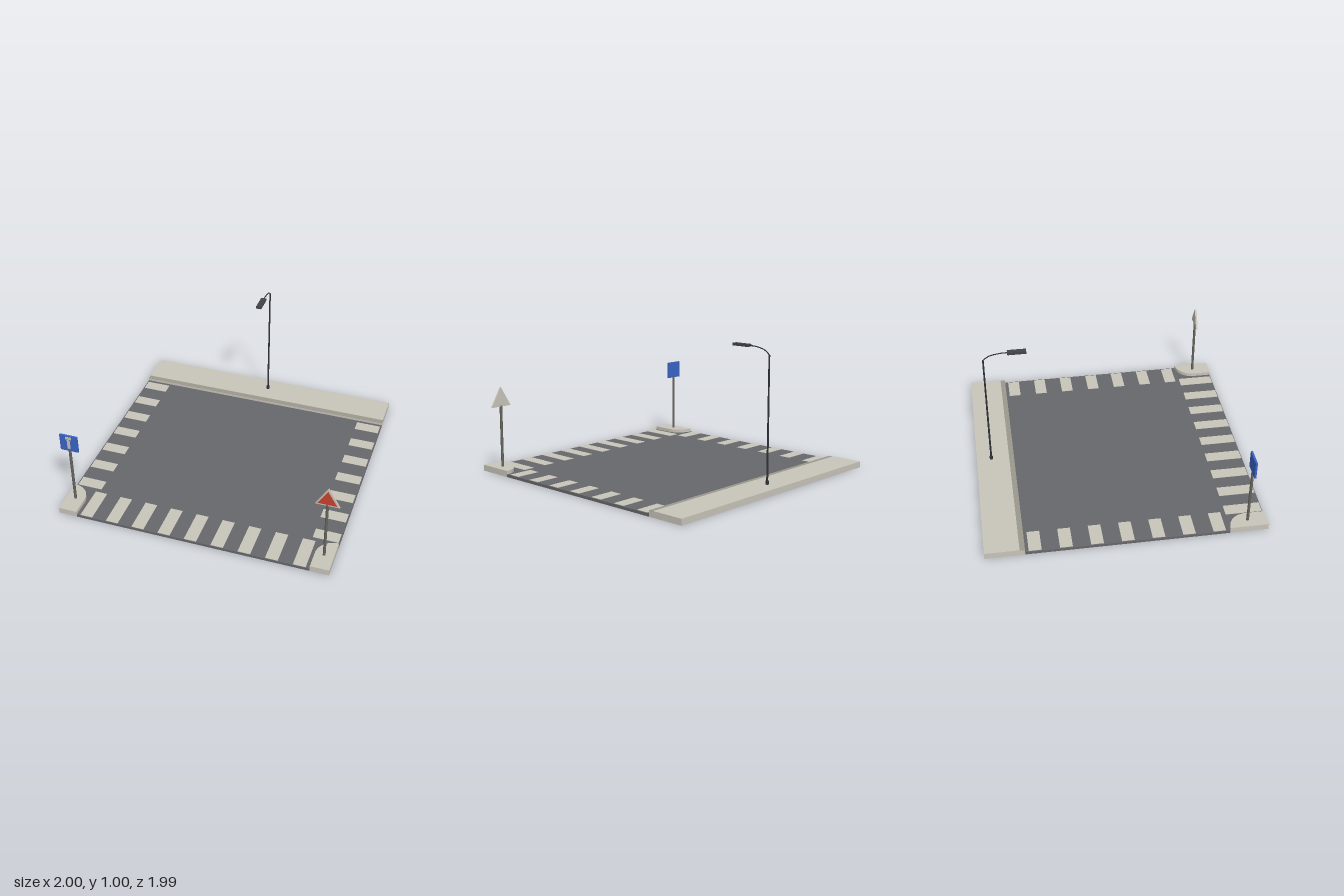
import * as THREE from 'three';

const CX = -0.0075, HALF = 0.9925; // slab centre in x and half size
const ROAD_Y = 0.02, PAVE_Y = 0.045;

const make = (name, color, side = THREE.FrontSide) => {
  const m = new THREE.MeshStandardMaterial({ color, side });
  m.name = name;
  return m;
};

export function createModel() {
  const group = new THREE.Group();
  const asphalt = make('asphalt', 0x66676b);
  const concrete = make('concrete', 0xc8c4b9, THREE.DoubleSide);
  const kerbGrey = make('kerb grey', 0x9b988c, THREE.DoubleSide);
  const poleGrey = make('pole grey', 0x66645e);
  const lampDark = make('lamp dark', 0x2e3238);
  const headDark = make('lamp head dark', 0x424347);
  const blue = make('sign blue', 0x3a63c4);
  const red = make('sign red', 0xc8432f);

  const add = (name, geometry, material, x = 0, y = 0, z = 0) => {
    const mesh = new THREE.Mesh(geometry, material);
    mesh.name = name;
    mesh.position.set(x, y, z);
    group.add(mesh);
    return mesh;
  };
  const box = (name, mat, x, y, z, w, h, d) => add(name, new THREE.BoxGeometry(w, h, d), mat, x, y, z);

  // Quarter round of a corner island, as [x, z], from the slab side edge to its front edge
  const cornerOutline = (side, grow) => {
    const r = 0.135 + grow, pts = [];
    for (let i = 0; i <= 12; i++) {
      const a = (i / 12) * Math.PI / 2;
      pts.push([CX + side * (HALF - r * Math.sin(a)), 0.855 - r * Math.cos(a)]);
    }
    pts.push([CX + side * (HALF - r), HALF]);
    return pts;
  };
  const toShape = (pts) => new THREE.Shape(pts.map(([x, z]) => new THREE.Vector2(x, -z)));

  // Road slab with both front corners cut out for the islands
  const roadPts = [
    [CX - HALF, -0.713],
    ...cornerOutline(-1, 0.002),
    ...cornerOutline(1, 0.002).reverse(),
    [CX + HALF, -0.713],
  ];
  const roadGeo = new THREE.ExtrudeGeometry(toShape(roadPts), { depth: ROAD_Y, bevelEnabled: false });
  roadGeo.rotateX(-Math.PI / 2);
  add('road', roadGeo, asphalt);

  // Hollow slab, open underneath: a flat top and a wall round its outline
  const shell = (name, pts, height) => {
    const top = new THREE.ShapeGeometry(toShape(pts)).rotateX(-Math.PI / 2);
    add(name + 'Top', top, concrete, 0, height, 0);
    const v = [], idx = [];
    // orient the outline so that the walls face outwards
    const loop = THREE.ShapeUtils.area(pts.map(([x, z]) => new THREE.Vector2(x, -z))) < 0 ? [...pts].reverse() : pts;
    loop.forEach(([x, z], i) => {
      const [x2, z2] = loop[(i + 1) % loop.length];
      const n = i * 4;
      v.push(x, 0, z, x2, 0, z2, x2, height, z2, x, height, z);
      idx.push(n, n + 1, n + 2, n, n + 2, n + 3);
    });
    const wall = new THREE.BufferGeometry();
    wall.setAttribute('position', new THREE.Float32BufferAttribute(v, 3));
    wall.setIndex(idx);
    wall.computeVertexNormals();
    add(name + 'Wall', wall, concrete);
  };

  // Pavement along the back, with a slightly lower kerb in front
  const strip = (z0, z1) => [[CX - HALF, z0], [CX + HALF, z0], [CX + HALF, z1], [CX - HALF, z1]];
  shell('pavement', strip(-HALF, -0.75), PAVE_Y);
  shell('kerb', strip(-0.75, -0.713), 0.041);
  box('kerbTopStrip', kerbGrey, CX, 0.0415, -0.7315, 2 * HALF, 0.002, 0.037);

  // Corner islands
  for (const side of [-1, 1]) {
    shell(side < 0 ? 'rightIsland' : 'leftIsland', [...cornerOutline(side, 0), [CX + side * HALF, HALF]], PAVE_Y);
  }

  // Crossing stripes on three sides
  for (const side of [-1, 1]) {
    for (let i = 0; i < 7; i++) {
      box('sideCrossingStripe', concrete, CX + side * 0.892, ROAD_Y + 0.001, -0.644 + i * 0.215, 0.185, 0.003, 0.089);
    }
  }
  for (let i = 0; i < 9; i++) {
    box('frontCrossingStripe', concrete, CX + (i - 4) * 0.196, ROAD_Y + 0.001, 0.856, 0.09, 0.003, 0.264);
  }

  // Sign poles
  const SIGN_Z = 0.857;
  const pole = (x, top) => add('signPole', new THREE.CylinderGeometry(0.01, 0.01, top - PAVE_Y, 12), poleGrey, x, (top + PAVE_Y) / 2, SIGN_Z);
  pole(-0.933, 0.49);
  pole(0.915, 0.5);

  // Square blue sign with a pale T on its front
  box('squareSign', blue, -0.933, 0.551, SIGN_Z, 0.133, 0.13, 0.014);
  box('squareSignStem', concrete, -0.933, 0.544, SIGN_Z + 0.008, 0.022, 0.075, 0.004);
  box('squareSignBar', concrete, -0.933, 0.597, SIGN_Z + 0.008, 0.044, 0.021, 0.004);

  // Triangular warning sign: pale plate with a red face
  const triangle = (name, mat, halfWidth, y0, y1, depth, z) => {
    const shape = new THREE.Shape([
      new THREE.Vector2(-halfWidth, y0), new THREE.Vector2(halfWidth, y0), new THREE.Vector2(0, y1),
    ]);
    add(name, new THREE.ExtrudeGeometry(shape, { depth, bevelEnabled: false }), mat, 0.915, 0, z);
  };
  triangle('triangleSign', concrete, 0.084, 0.493, 0.636, 0.014, SIGN_Z - 0.007);
  triangle('triangleSignFace', red, 0.065, 0.504, 0.614, 0.004, SIGN_Z + 0.005);

  // Street lamp: base, post, curved arm and head
  const LAMP_Z = -0.883;
  add('lampBase', new THREE.CylinderGeometry(0.012, 0.012, 0.025, 12), lampDark, CX, 0.0575, LAMP_Z);
  add('lampPost', new THREE.CylinderGeometry(0.006, 0.007, 0.9, 12), lampDark, CX, 0.495, LAMP_Z);
  const arm = new THREE.CatmullRomCurve3([
    [0.94, LAMP_Z], [0.949, -0.878], [0.976, -0.838], [0.991, -0.77], [0.994, -0.7],
  ].map(([y, z]) => new THREE.Vector3(CX, y, z)));
  add('lampArm', new THREE.TubeGeometry(arm, 20, 0.004, 8), lampDark);
  box('lampHead', headDark, CX, 0.993, -0.644, 0.04, 0.018, 0.134);

  return group;
}
